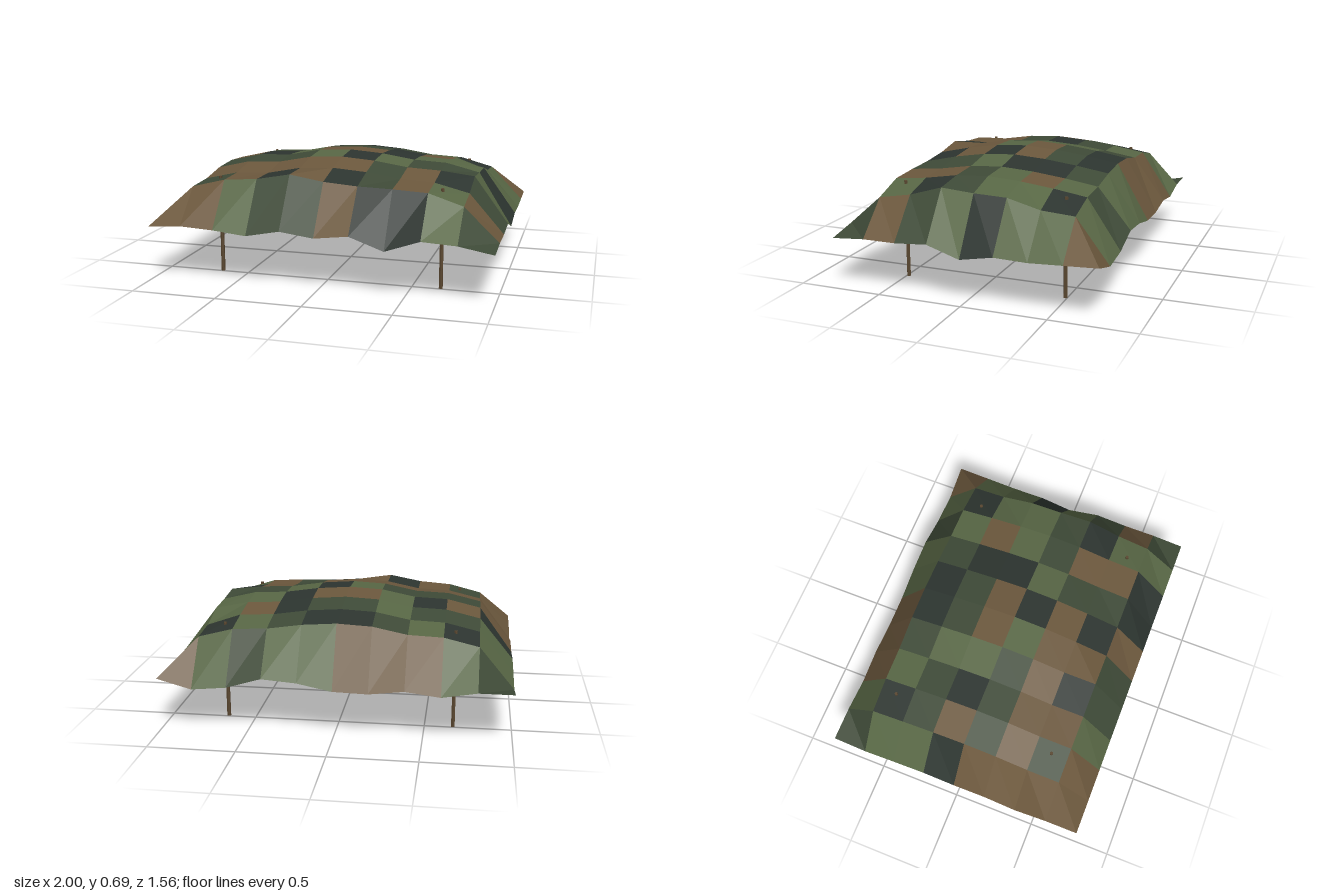
import * as THREE from 'three';

const COLS = 10, ROWS = 8, HALF_X = 1, HALF_Z = 0.78;

const material = (name, color, side = THREE.FrontSide) =>
  new THREE.MeshStandardMaterial({ name, color, side, flatShading: true });

// Patch layout, back row first, left to right: g light green, m mid green, d dark, b brown
const PATCHES = [
  'mgbbbggmgb',
  'gdgmddmgdg',
  'gmmgmmdbgg',
  'dbdgbbdggd',
  'bmmmgdgmmg',
  'bbbbbbmbdm',
  'bmbdbdmbgb',
  'bbgmmbddgm',
];

// Hem heights on the four sides
const HEM_BACK = [0.32, 0.32, 0.285, 0.31, 0.285, 0.29, 0.33, 0.345, 0.285, 0.265, 0.32];
const HEM_FRONT = [0.32, 0.335, 0.325, 0.305, 0.345, 0.32, 0.345, 0.275, 0.345, 0.335, 0.3];
const HEM_MINUS_X = [0.32, 0.28, 0.31, 0.33, 0.31, 0.32, 0.275, 0.32, 0.32];
const HEM_PLUS_X = [0.32, 0.31, 0.3, 0.305, 0.268, 0.33, 0.315, 0.315, 0.3];

// Crown curves along x and z, and the two shoulder ridges
const CROWN_X = [0, 0.585, 0.632, 0.64, 0.68, 0.69, 0.675, 0.645, 0.635, 0.6, 0];
const CROWN_Z = [0, 0.625, 0.655, 0.678, 0.69, 0.678, 0.645, 0.615, 0];
const RIDGE_FRONT = [0, 0.53, 0.58, 0.595, 0.632, 0.6, 0.585, 0.58, 0.57, 0.506, 0];
const RIDGE_PLUS_X = [0, 0.517, 0.53, 0.58, 0.586, 0.6, 0.54, 0.506, 0];

function height(i, j) {
  if (j === 0) return HEM_BACK[i];
  if (j === ROWS) return HEM_FRONT[i];
  if (i === 0) return HEM_MINUS_X[j];
  if (i === COLS) return HEM_PLUS_X[j];
  if (j === ROWS - 1) return RIDGE_FRONT[i];
  if (i === COLS - 1) return RIDGE_PLUS_X[j];
  return CROWN_X[i] + CROWN_Z[j] - 0.69;
}

const corner = (i, j) => [
  (i / COLS * 2 - 1) * HALF_X, height(i, j), (j / ROWS * 2 - 1) * HALF_Z,
];

// All cloth patches of one colour
function patchMesh(key, name, mat) {
  const positions = [];
  for (let j = 0; j < ROWS; j++) {
    for (let i = 0; i < COLS; i++) {
      if (PATCHES[j][i] !== key) continue;
      const a = corner(i, j), b = corner(i, j + 1);
      const c = corner(i + 1, j + 1), d = corner(i + 1, j);
      positions.push(...a, ...b, ...d, ...b, ...c, ...d);
    }
  }
  const geometry = new THREE.BufferGeometry();
  geometry.setAttribute('position', new THREE.Float32BufferAttribute(positions, 3));
  geometry.computeVertexNormals();
  const mesh = new THREE.Mesh(geometry, mat);
  mesh.name = name;
  return mesh;
}

export function createModel() {
  const model = new THREE.Group();
  model.name = 'camouflageCanopy';

  // Draped patchwork net
  const net = new THREE.Group();
  net.name = 'net';
  const cloth = {
    g: ['lightGreen', 0x586745],
    m: ['midGreen', 0x3f4b38],
    d: ['darkGreen', 0x2d3530],
    b: ['brown', 0x6c583d],
  };
  for (const [key, [name, color]] of Object.entries(cloth)) {
    net.add(patchMesh(key, name + 'Patches', material(name, color, THREE.DoubleSide)));
  }
  model.add(net);

  // Four support poles, tips poking just through the net
  const wood = material('poleWood', 0x5a4730);
  const poleHeight = 0.58;
  const poleGeometry = new THREE.CylinderGeometry(0.01, 0.012, poleHeight, 6);
  for (const x of [-0.665, 0.665]) {
    for (const z of [-0.488, 0.488]) {
      const pole = new THREE.Mesh(poleGeometry, wood);
      pole.name = 'supportPole';
      pole.position.set(x, poleHeight / 2, z);
      model.add(pole);
    }
  }
  return model;
}
